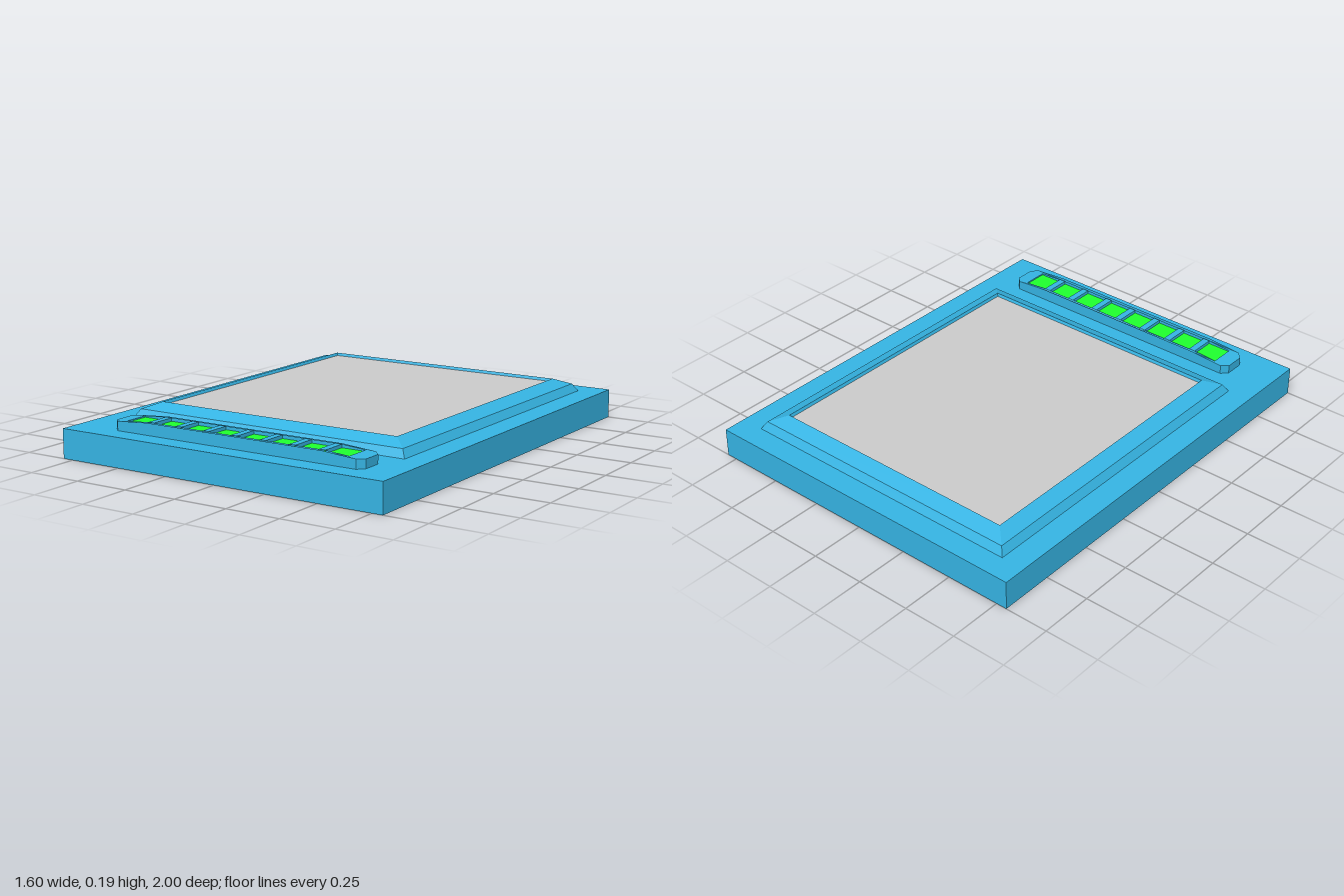
import * as THREE from 'three';

const DECK = 0.132;   // height of the flat deck
const blue = new THREE.MeshStandardMaterial({ color: 0x35b4e3, flatShading: true, side: THREE.DoubleSide });
const green = new THREE.MeshStandardMaterial({ color: 0x1fff2e, flatShading: true, side: THREE.DoubleSide });
const grey = new THREE.MeshStandardMaterial({ color: 0xcccccc, flatShading: true, side: THREE.DoubleSide });

// Rectangle in plan as [x, z] corners, counter-clockwise seen from above
const rect = (x0, x1, z0, z1) => [[x0, z1], [x1, z1], [x1, z0], [x0, z0]];

// Lift a plan outline to a height, which may depend on x
const ring = (plan, y) => plan.map(([x, z]) => [x, typeof y === 'function' ? y(x) : y, z]);

// Skin between successive outlines, with flat faces
function loft(rings, closed = true) {
  const pos = [];
  for (let r = 0; r + 1 < rings.length; r++) {
    const n = rings[r].length;
    for (let i = 0; i < (closed ? n : n - 1); i++) {
      const j = (i + 1) % n;
      const a = rings[r][i], b = rings[r][j], c = rings[r + 1][j], d = rings[r + 1][i];
      pos.push(...a, ...b, ...c, ...a, ...c, ...d);
    }
  }
  const g = new THREE.BufferGeometry();
  g.setAttribute('position', new THREE.Float32BufferAttribute(pos, 3));
  g.computeVertexNormals();
  return g;
}

// Horizontal sheet with holes, facing up
function sheet(plan, holes, y) {
  const pts = (p) => p.map(([x, z]) => new THREE.Vector2(x, -z));
  const shape = new THREE.Shape(pts(plan));
  for (const h of holes) shape.holes.push(new THREE.Path(pts(h)));
  const g = new THREE.ShapeGeometry(shape).rotateX(-Math.PI / 2);
  const p = g.attributes.position;
  for (let i = 0; i < p.count; i++) p.setY(i, typeof y === 'function' ? y(p.getX(i)) : y);
  g.computeVertexNormals();
  return g;
}

export function createModel() {
  const model = new THREE.Group();
  const add = (name, geometry, material = blue) => {
    const mesh = new THREE.Mesh(geometry, material);
    mesh.name = name;
    model.add(mesh);
  };

  // Button strip outline, with corners cut and points where the top bends down
  const sx0 = -0.605, sx1 = 0.645, sz0 = 0.76, sz1 = 0.905, cut = 0.028, bend0 = -0.42, bend1 = 0.46;
  const stripPlan = [
    [sx0 + cut, sz1], [bend0, sz1], [bend1, sz1], [sx1 - cut, sz1],
    [sx1, sz1 - cut], [sx1, sz0 + cut],
    [sx1 - cut, sz0], [bend1, sz0], [bend0, sz0], [sx0 + cut, sz0],
    [sx0, sz0 + cut], [sx0, sz1 - cut],
  ];
  const stripTop = (x) => 0.185 - 0.075 * Math.max(0, bend0 - x, x - bend1);

  // Raised bezel outline, inset from its foot
  const bezel = (inset) => rect(-0.69 + inset, 0.69 - inset, -0.895 + inset, 0.665 - inset);

  // Open-bottomed casing
  const outline = rect(-0.8, 0.8, -1, 1);
  add('casingWalls', loft([ring(outline, 0), ring(outline, DECK)]));
  add('casingDeck', sheet(outline, [bezel(0), stripPlan], DECK));

  // Bezel around the screen, with a recessed floor
  add('bezel', loft([
    ring(bezel(0), DECK), ring(bezel(0.022), 0.167), ring(bezel(0.09), 0.195), ring(bezel(0.096), 0.18),
  ]));
  add('screenBacking', sheet(bezel(0.096), [], 0.178));
  add('screen', sheet(bezel(0.096), [], 0.182), grey);

  // Button strip with eight openings
  const holes = [];
  for (let i = 0; i < 8; i++) {
    const x = -0.48 + i * 0.143;
    holes.push(rect(x - 0.056, x + 0.056, 0.772, 0.889));
    add('button', sheet(rect(x - 0.065, x + 0.065, 0.766, 0.897), [], 0.17), green);
  }
  add('buttonStripWalls', loft([ring(stripPlan, DECK), ring(stripPlan, stripTop)]));
  add('buttonStripTop', sheet(stripPlan, holes, stripTop));
  for (const h of holes) add('buttonOpening', loft([ring(h, stripTop), ring(h, 0.17)]));

  // Inner partitions under the deck
  const partition = (name, path) => add(name, loft([ring(path, 0), ring(path, DECK)], false));
  partition('backCompartment', [[-0.8, -0.69], [-0.285, -0.69], [-0.285, -1]]);
  partition('frontCompartment', [[-0.54, 1], [-0.54, 0.7], [-0.8, 0.7]]);
  partition('sideRib', [[0.8, -0.34], [0.69, -0.34]]);

  return model;
}
